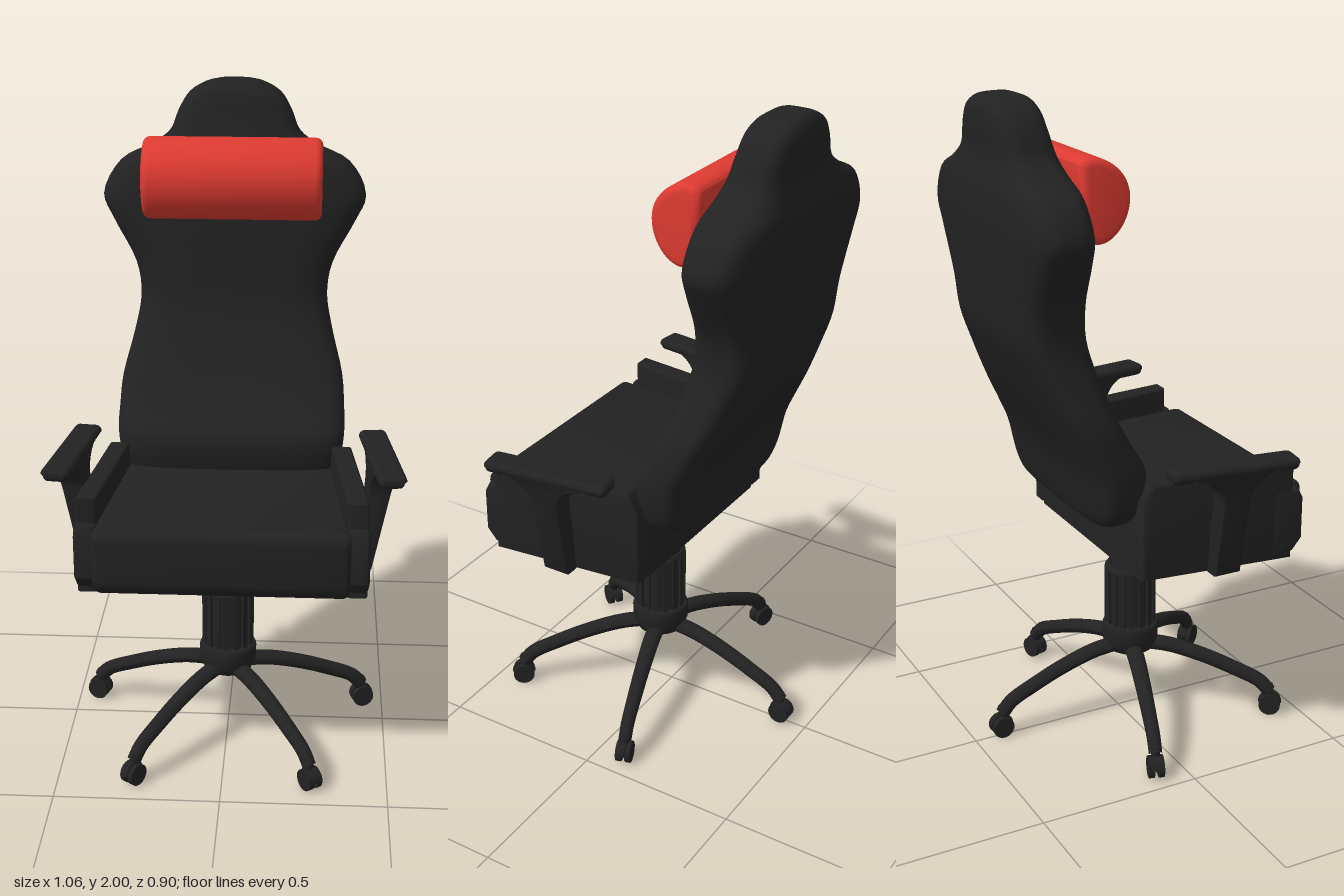
import * as THREE from 'three';
import { toCreasedNormals } from 'three/addons/utils/BufferGeometryUtils.js';
import { RoundedBoxGeometry } from 'three/addons/geometries/RoundedBoxGeometry.js';

const black = new THREE.MeshStandardMaterial({ name: 'black', color: 0x222222 });
const red = new THREE.MeshStandardMaterial({ name: 'red', color: 0xdc3a31 });
const CENTRE_Z = 0.043; // column axis

function add(parent, name, geometry, material = black, x = 0, y = 0, z = 0) {
  const mesh = new THREE.Mesh(geometry, material);
  mesh.name = name;
  mesh.position.set(x, y, z);
  parent.add(mesh);
  return mesh;
}

// Move every vertex by a rule
function warp(geometry, rule) {
  const p = geometry.attributes.position, v = new THREE.Vector3();
  for (let i = 0; i < p.count; i++) {
    rule(v.fromBufferAttribute(p, i));
    p.setXYZ(i, v.x, v.y, v.z);
  }
  return geometry;
}

// Extrude a side outline (z, y) across x, then warp it and smooth gentle edges
function sideExtrude(shape, width, bevel, rule = () => {}) {
  const geo = new THREE.ExtrudeGeometry(shape, {
    depth: width - 2 * bevel, bevelThickness: bevel, bevelSize: bevel,
    bevelOffset: -bevel, bevelSegments: 4, curveSegments: 16,
  });
  geo.translate(0, 0, bevel - width / 2);
  geo.rotateY(-Math.PI / 2);
  return toCreasedNormals(warp(geo, rule), 0.6);
}

const outline = (pts) => new THREE.Shape(pts.map(([z, y]) => new THREE.Vector2(z, y)));

// Backrest: horizontal superellipse sections [y, half width, front z, back z]
function backrestGeometry() {
  const keys = [
    [0.77, 0.27, -0.13, -0.205], [0.785, 0.305, -0.09, -0.22], [0.83, 0.335, -0.06, -0.235],
    [0.94, 0.354, -0.045, -0.26], [1.02, 0.352, -0.09, -0.293], [1.1, 0.345, -0.13, -0.33],
    [1.235, 0.31, -0.18, -0.39], [1.34, 0.292, -0.205, -0.43], [1.445, 0.306, -0.212, -0.44],
    [1.58, 0.375, -0.22, -0.446], [1.655, 0.405, -0.226, -0.45], [1.75, 0.355, -0.236, -0.45],
    [1.8, 0.26, -0.246, -0.44], [1.845, 0.2, -0.257, -0.433], [1.91, 0.172, -0.272, -0.435],
    [1.96, 0.14, -0.283, -0.433], [1.99, 0.09, -0.3, -0.418], [2.0, 0.05, -0.325, -0.4],
  ];
  const shapeCurve = new THREE.CatmullRomCurve3(keys.map((k) => new THREE.Vector3(k[1], k[0], k[2])), false, 'centripetal');
  const backCurve = new THREE.CatmullRomCurve3(keys.map((k) => new THREE.Vector3(k[1], k[0], k[3])), false, 'centripetal');
  const rows = (keys.length - 1) * 4, cols = 72, pos = [], index = [];
  const pw = (c) => Math.sign(c) * Math.pow(Math.abs(c), 2 / 3.5);
  for (let r = 0; r <= rows; r++) {
    const a = shapeCurve.getPoint(r / rows), b = backCurve.getPoint(r / rows);
    const mid = (a.z + b.z) / 2, half = (a.z - b.z) / 2;
    for (let c = 0; c < cols; c++) {
      const t = (c / cols) * Math.PI * 2;
      pos.push(a.x * pw(Math.cos(t)), a.y, mid + half * pw(Math.sin(t)));
    }
  }
  for (let r = 0; r < rows; r++) {
    for (let c = 0; c < cols; c++) {
      const a = r * cols + c, b = r * cols + (c + 1) % cols;
      index.push(a, a + cols, b, b, a + cols, b + cols);
    }
  }
  // End caps
  const low = pos.length / 3, high = low + 1;
  pos.push(0, 0.77, -0.167, 0, 2.0, -0.362);
  for (let c = 0; c < cols; c++) {
    const d = (c + 1) % cols;
    index.push(low, c, d, high, rows * cols + d, rows * cols + c);
  }
  const geo = new THREE.BufferGeometry();
  geo.setAttribute('position', new THREE.Float32BufferAttribute(pos, 3));
  geo.setIndex(index);
  geo.computeVertexNormals();
  return geo;
}

// Curved tapering leg with a twin-wheel caster, pointing along +z
function makeLeg() {
  const leg = new THREE.Group();
  leg.name = 'baseLeg';
  const path = new THREE.CatmullRomCurve3([[0.04, 0.225], [0.13, 0.217], [0.24, 0.187], [0.34, 0.148], [0.42, 0.11], [0.452, 0.075]]
    .map(([r, y]) => new THREE.Vector3(0, y, r)));
  const tube = new THREE.TubeGeometry(path, 28, 0.023, 12);
  warp(tube, (v) => { v.x *= 1.3 - v.z * 0.9; });
  tube.computeVertexNormals();
  add(leg, 'legArm', tube);
  add(leg, 'casterStem', new THREE.CylinderGeometry(0.014, 0.014, 0.07, 12), black, 0, 0.065, 0.45);
  for (const s of [-1, 1]) {
    const wheel = new THREE.CylinderGeometry(0.034, 0.034, 0.016, 24);
    wheel.rotateZ(Math.PI / 2);
    add(leg, 'casterWheel', wheel, black, s * 0.015, 0.034, 0.455);
  }
  const hood = new THREE.CylinderGeometry(0.037, 0.037, 0.012, 20, 1, false, 0, Math.PI);
  hood.rotateZ(Math.PI / 2);
  add(leg, 'casterHood', hood, black, 0, 0.036, 0.455);
  return leg;
}

// Side bolster, arm post and arm pad for the model's left
function makeSide() {
  const side = new THREE.Group();
  side.name = 'armSide';
  const follow = (v) => { v.x += 0.342 + (v.z + 0.11) * 0.11; };
  add(side, 'seatBolster', sideExtrude(outline([[-0.112, 0.62], [0.365, 0.62], [0.365, 0.917], [-0.08, 0.917], [-0.112, 0.86]]), 0.062, 0.008, follow));
  add(side, 'bolsterFront', sideExtrude(outline([[0.3, 0.625], [0.37, 0.64], [0.4, 0.68], [0.4, 0.81], [0.385, 0.84], [0.3, 0.84]]), 0.064, 0.012, follow));

  const post = new THREE.Shape();
  post.moveTo(0.092, 0.62);
  post.lineTo(0.178, 0.62);
  post.lineTo(0.176, 0.86);
  post.quadraticCurveTo(0.178, 0.935, 0.26, 0.955);
  post.lineTo(-0.01, 0.955);
  post.quadraticCurveTo(0.09, 0.935, 0.092, 0.86);
  add(side, 'armPost', sideExtrude(post, 0.05, 0.006, (v) => {
    const t = (v.y - 0.62) / 0.335;
    v.x = v.x * (1 + 0.5 * t) + 0.415 + 0.05 * t + (v.z - 0.13) * 0.13 * t;
  }));
  const pad = new RoundedBoxGeometry(0.086, 0.04, 0.395, 5, 0.018);
  warp(pad, (v) => { if (v.y < 0) v.x *= 0.85; });
  add(side, 'armPad', pad, black, 0.463, 0.966, 0.13).rotation.y = 0.13;
  return side;
}

export function createModel() {
  const chair = new THREE.Group();
  chair.name = 'officeChair';

  // Five-legged base
  for (let i = 0; i < 5; i++) {
    const leg = makeLeg();
    leg.position.z = CENTRE_Z;
    leg.rotation.y = Math.PI + (i * Math.PI * 2) / 5;
    chair.add(leg);
  }

  // Hub and ribbed column
  const hub = [[0, 0.195], [0.05, 0.195], [0.075, 0.21], [0.088, 0.24], [0.09, 0.285], [0.083, 0.302], [0, 0.302]];
  const lathe = new THREE.LatheGeometry(hub.map(([r, y]) => new THREE.Vector2(r, y)), 32);
  add(chair, 'hub', lathe, black, 0, 0, CENTRE_Z);
  add(chair, 'gasLift', new THREE.CylinderGeometry(0.067, 0.067, 0.34, 32), black, 0, 0.46, CENTRE_Z);
  add(chair, 'columnSleeve', new THREE.CylinderGeometry(0.073, 0.073, 0.2, 32), black, 0, 0.4, CENTRE_Z);
  add(chair, 'sleeveCollar', new THREE.CylinderGeometry(0.074, 0.081, 0.014, 32), black, 0, 0.493, CENTRE_Z);
  for (let i = 0; i < 16; i++) {
    const rib = new THREE.BoxGeometry(0.018, 0.19, 0.016);
    rib.translate(0, 0, 0.073);
    add(chair, 'columnRib', rib, black, 0, 0.395, CENTRE_Z).rotation.y = (i * Math.PI) / 8;
  }

  // Seat cushion, narrower at the back
  const seat = new THREE.Shape();
  seat.moveTo(-0.112, 0.615);
  seat.lineTo(0.32, 0.615);
  seat.quadraticCurveTo(0.42, 0.62, 0.43, 0.68);
  seat.lineTo(0.43, 0.81);
  seat.quadraticCurveTo(0.43, 0.842, 0.395, 0.842);
  seat.lineTo(-0.112, 0.842);
  add(chair, 'seatCushion', sideExtrude(seat, 0.75, 0.02, (v) => { v.x *= 1 - (0.43 - v.z) * 0.26; }));

  // Arms and bolsters on both sides
  const left = makeSide(), right = makeSide();
  right.scale.x = -1;
  chair.add(left, right);

  // Backrest
  add(chair, 'backrest', backrestGeometry());

  // Head pillow with a rounded front
  const pillow = new THREE.Shape();
  pillow.moveTo(-0.25, 1.832);
  pillow.bezierCurveTo(-0.24, 1.855, -0.2, 1.855, -0.17, 1.84);
  pillow.bezierCurveTo(-0.125, 1.82, -0.094, 1.78, -0.094, 1.73);
  pillow.bezierCurveTo(-0.094, 1.67, -0.14, 1.607, -0.19, 1.607);
  pillow.quadraticCurveTo(-0.225, 1.607, -0.235, 1.635);
  add(chair, 'headPillow', sideExtrude(pillow, 0.54, 0.022), red);

  return chair;
}
